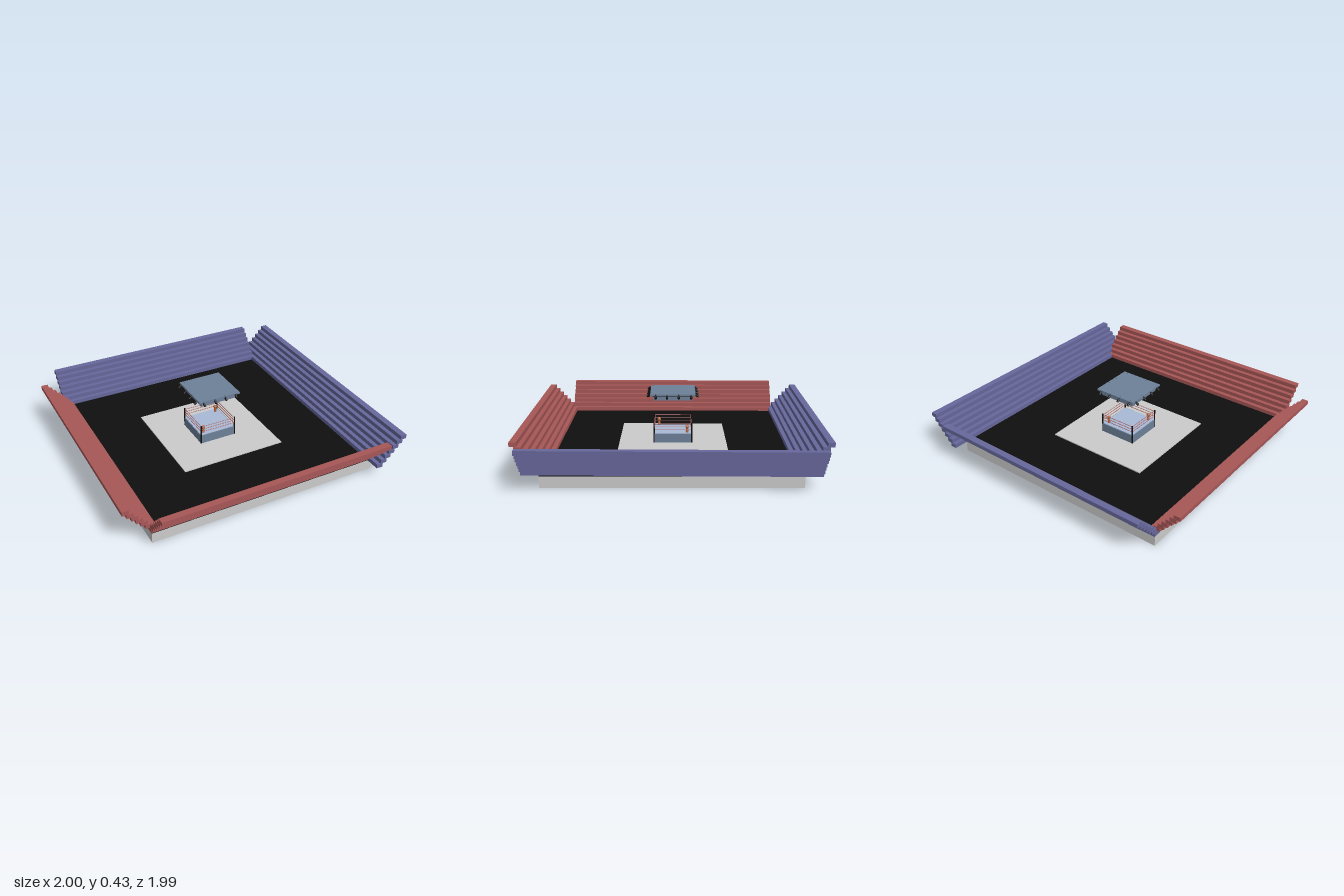
import * as THREE from 'three';

const mat = (color) => new THREE.MeshStandardMaterial({ color });
const GREY = mat(0xcccccc), BLACK = mat(0x0f0f0f), RED = mat(0xa85757), BLUE = mat(0x67679c);
const SLATE = mat(0x6e8199), CANVAS = mat(0xa9b9d6), ROPE = mat(0xb06a6a), ORANGE = mat(0xb5673a);

function add(parent, name, geometry, material, x = 0, y = 0, z = 0) {
  const mesh = new THREE.Mesh(geometry, material);
  mesh.name = name;
  mesh.position.set(x, y, z);
  parent.add(mesh);
  return mesh;
}

function box(parent, name, material, w, y0, y1, d, x = 0, z = 0) {
  return add(parent, name, new THREE.BoxGeometry(w, y1 - y0, d), material, x, (y0 + y1) / 2, z);
}

// Round bar between two points
function bar(parent, name, material, a, b, radius) {
  const from = new THREE.Vector3(...a), to = new THREE.Vector3(...b);
  const dir = to.clone().sub(from);
  const mesh = add(parent, name, new THREE.CylinderGeometry(radius, radius, dir.length(), 8), material);
  mesh.position.copy(from).add(to).multiplyScalar(0.5);
  mesh.quaternion.setFromUnitVectors(new THREE.Vector3(0, 1, 0), dir.normalize());
  return mesh;
}

// Seven stepped rows rising outwards along local +z
function stand(name, material, length, x, z, turn) {
  const g = new THREE.Group();
  g.name = name;
  for (let i = 0; i < 7; i++) {
    const y = 0.082 + i * 0.03;
    box(g, 'seatRow', material, length, y, y + 0.0285, 0.045, 0, 0.0225 + i * 0.028);
  }
  g.position.set(x, 0, z);
  g.rotation.y = turn;
  return g;
}

function boxingRing() {
  const g = new THREE.Group();
  g.name = 'ring';
  box(g, 'ringPlatform', SLATE, 0.27, 0.083, 0.147, 0.27);
  box(g, 'ringCanvas', CANVAS, 0.262, 0.147, 0.15, 0.262);
  const r = 0.129;
  const corners = [[-r, -r], [r, -r], [r, r], [-r, r]];
  corners.forEach(([x, z], i) => {
    add(g, 'cornerPost', new THREE.CylinderGeometry(0.005, 0.005, 0.142, 10), BLACK, x * 1.02, 0.154, z * 1.02);
    const [nx, nz] = corners[(i + 1) % 4];
    for (const y of [0.175, 0.196, 0.217]) {
      bar(g, 'rope', ROPE, [x, y, z], [nx, y, nz], 0.0022);
    }
  });
  // Corner stools with padded tops in two opposite corners
  for (const s of [-1, 1]) {
    add(g, 'stoolLeg', new THREE.CylinderGeometry(0.007, 0.01, 0.035, 10), ORANGE, s * 0.1, 0.1675, -s * 0.1);
    add(g, 'stoolPad', new THREE.SphereGeometry(0.013, 12, 8), ORANGE, s * 0.1, 0.19, -s * 0.1);
  }
  return g;
}

function lightingRig() {
  const g = new THREE.Group();
  g.name = 'lightingRig';
  box(g, 'rigBody', SLATE, 0.265, 0.385, 0.416, 0.27);
  box(g, 'rigTrim', BLACK, 0.275, 0.414, 0.421, 0.28);
  box(g, 'rigTop', SLATE, 0.31, 0.421, 0.433, 0.312);
  // Four spotlights along each side
  const offsets = [-0.125, -0.04, 0.04, 0.118];
  for (let side = 0; side < 4; side++) {
    const row = new THREE.Group();
    row.name = 'spotlightRow';
    row.rotation.y = side * Math.PI / 2;
    for (const x of offsets) {
      const k = side === 1 || side === 2 ? -x : x;
      bar(row, 'lampArm', BLACK, [k, 0.43, 0.14], [k, 0.421, 0.168], 0.004);
      bar(row, 'lampHousing', BLACK, [k, 0.421, 0.162], [k, 0.409, 0.178], 0.008);
    }
    g.add(row);
  }
  return g;
}

export function createModel() {
  const model = new THREE.Group();
  model.name = 'arena';

  // Floor slab, dark covering and central mat
  box(model, 'floorSlab', GREY, 1.63, 0, 0.073, 1.635, -0.013, 0);
  box(model, 'floorCovering', BLACK, 1.63, 0.073, 0.0755, 1.635, -0.013, 0);
  box(model, 'ringsideMat', GREY, 0.75, 0.0755, 0.083, 0.75, -0.015, -0.005);

  // Stands, each set slightly askew
  model.add(stand('frontStand', RED, 1.635, -0.015, 0.778, 0));
  model.add(stand('backStand', BLUE, 1.64, -0.015, -0.781, Math.PI - 0.005));
  model.add(stand('leftStand', BLUE, 1.855, 0.774, 0.002, Math.PI / 2 - 0.016));
  model.add(stand('rightStand', RED, 1.61, -0.783, 0, -Math.PI / 2 - 0.006));

  const ring = boxingRing();
  ring.position.set(-0.015, 0, -0.005);
  model.add(ring);

  const rig = lightingRig();
  rig.position.set(-0.014, 0, -0.005);
  model.add(rig);

  return model;
}
